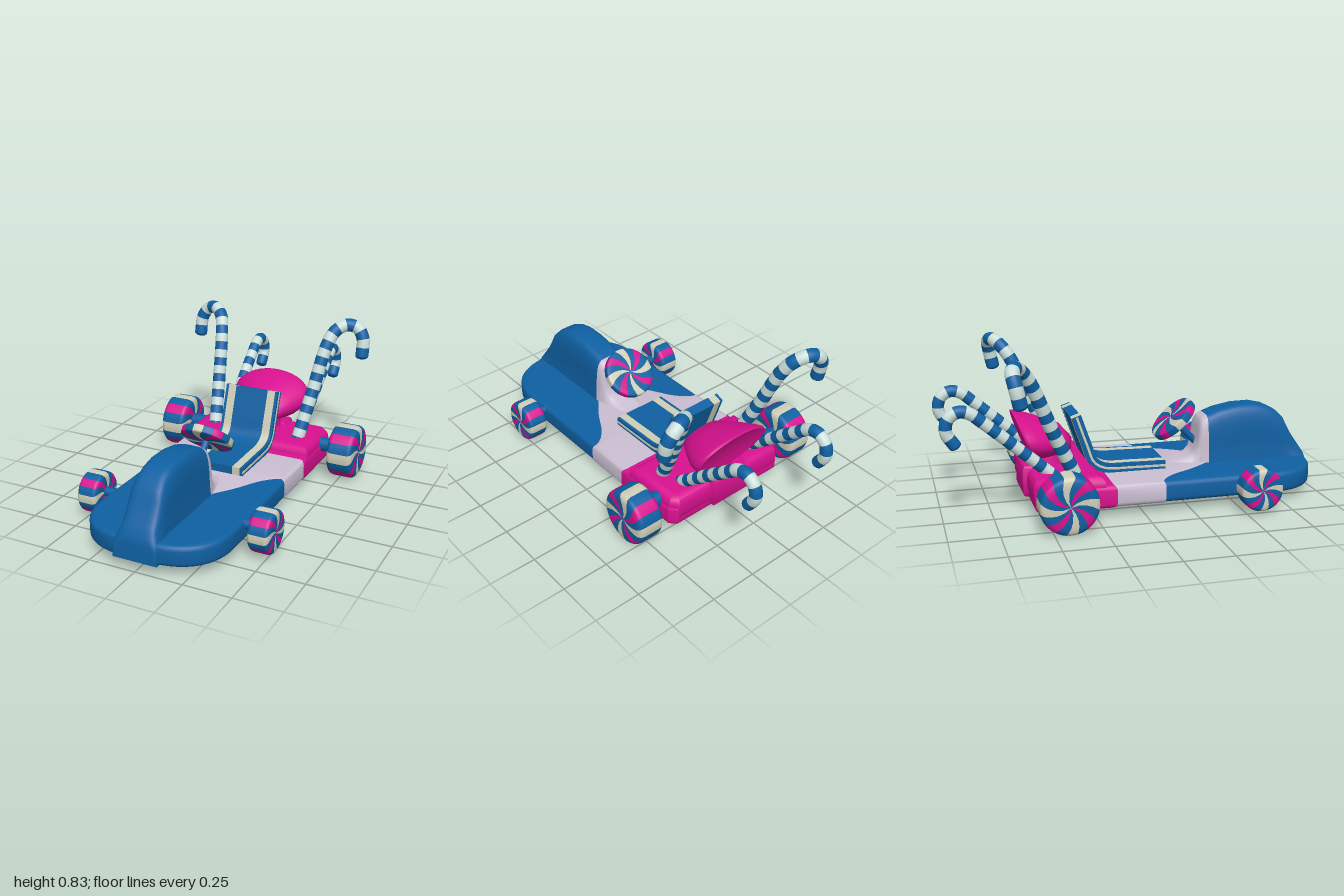
import * as THREE from 'three';
import { mergeGeometries, mergeVertices, toCreasedNormals } from 'three/addons/utils/BufferGeometryUtils.js';

const V = (x, y, z) => new THREE.Vector3(x, y, z);

// Skin a list of equally long point rows
function loft(rows) {
  const n = rows[0].length, idx = [];
  for (let i = 0; i < rows.length - 1; i++) {
    for (let j = 0; j < n - 1; j++) {
      const a = i * n + j, b = a + n;
      idx.push(a, a + 1, b, a + 1, b + 1, b);
    }
  }
  let g = new THREE.BufferGeometry().setFromPoints(rows.flat());
  g.setIndex(idx);
  g = mergeVertices(g, 1e-5);
  g.computeVertexNormals();
  return g;
}

// Plan outline (x, z) raised from y0 to y1 with rounded edges
function slab(points, y0, y1, bevel) {
  const shape = new THREE.Shape(points.map(([x, z]) => new THREE.Vector2(x, -z)));
  const g = new THREE.ExtrudeGeometry(shape, {
    depth: y1 - y0 - 2 * bevel, bevelSize: bevel, bevelThickness: bevel, bevelOffset: -bevel, bevelSegments: 4,
  });
  g.rotateX(-Math.PI / 2).translate(0, y0 + bevel, 0);
  return toCreasedNormals(g, 0.6);
}

const mirrored = (half) => [...half, ...half.map(([x, z]) => [-x, z]).reverse()];

// Rounded arch across the hood at one z
function arch(z, top, w) {
  return Array.from({ length: 33 }, (_, j) => {
    const a = (j / 32) * Math.PI, c = Math.cos(a);
    const y = 0.055 + (top - 0.055) * Math.pow(Math.max(Math.sin(a), 0), 0.4);
    const flare = 1 + 0.18 * Math.exp(-Math.max(y - 0.15, 0) / 0.025);
    return V(Math.sign(c) * Math.pow(Math.abs(c), 0.4) * w * flare, y, z);
  });
}

export function createModel() {
  const root = new THREE.Group();
  const mat = (name, color) => Object.assign(new THREE.MeshStandardMaterial({ color }), { name });
  const blue = mat('blue', 0x0f60a2), pink = mat('pink', 0xd8118f), lavender = mat('lavender', 0xcabfd2);
  const cream = mat('cream', 0xd0cfb8), mint = mat('paleMint', 0xcbdfdb);
  const add = (name, geo, material, parent = root) => {
    const m = new THREE.Mesh(geo, material);
    m.name = name;
    parent.add(m);
    return m;
  };

  // Chassis with a rounded nose, overlaid by the middle and rear colour zones
  const nose = new THREE.CubicBezierCurve(
    new THREE.Vector2(0.37, 0.7), new THREE.Vector2(0.37, 0.9),
    new THREE.Vector2(0.24, 0.99), new THREE.Vector2(0.06, 0.99)).getPoints(16).map((p) => [p.x, p.y]);
  add('chassis', slab(mirrored([[0.367, -0.5], [0.37, 0], ...nose]), 0.052, 0.162, 0.025), blue);
  const seam = new THREE.SplineCurve([[0.373, 0.11], [0.32, 0.135], [0.26, 0.2], [0.19, 0.32], [0.1, 0.44]]
    .map(([x, z]) => new THREE.Vector2(x, z))).getPoints(14).map((p) => [p.x, p.y]);
  add('floorPan', slab(mirrored([[0.373, -0.25], ...seam]), 0.049, 0.165, 0.025), lavender);
  add('rearBody', slab(mirrored([[0.34, -0.555], [0.376, -0.52], [0.376, -0.145]]), 0.046, 0.168, 0.025), pink);
  add('rearDeck', slab(mirrored([[0.33, -0.56], [0.37, -0.52], [0.37, -0.2]]), 0.07, 0.217, 0.05), pink);
  add('tailBlock', slab(mirrored([[0.12, -0.58], [0.14, -0.45]]), 0.055, 0.225, 0.025), pink);

  // Hood and dashboard
  add('hood', loft([
    [0.43, 0.415], [0.5, 0.44], [0.6, 0.458], [0.7, 0.46], [0.77, 0.445], [0.83, 0.415], [0.87, 0.375], [0.89, 0.335],
    [0.92, 0.28], [0.955, 0.23], [0.985, 0.185], [0.998, 0.14], [1, 0.055],
  ].map(([z, t]) => arch(z, t, 0.1))), blue);
  add('dashboard', loft([
    [0.2, 0.16, 0.07], [0.29, 0.18, 0.08], [0.34, 0.2, 0.085], [0.365, 0.23, 0.088], [0.38, 0.29, 0.09],
    [0.385, 0.35, 0.09], [0.393, 0.385, 0.094], [0.405, 0.402, 0.098], [0.43, 0.415, 0.1],
  ].map(([z, t, w]) => arch(z, t, w))), lavender);

  // Flared pod behind the seat: back disc first, then tapering forward
  const pod = [
    [-0.555, 0.37, 0, 0], [-0.565, 0.37, 0.16, 0.085], [-0.575, 0.37, 0.205, 0.108], [-0.573, 0.369, 0.22, 0.117],
    [-0.555, 0.365, 0.228, 0.12], [-0.5, 0.355, 0.212, 0.115], [-0.42, 0.345, 0.17, 0.095],
    [-0.34, 0.335, 0.12, 0.07], [-0.3, 0.33, 0, 0],
  ].map(([z, y, w, h]) => Array.from({ length: 41 }, (_, j) => {
    const a = ((j % 40) / 40) * Math.PI * 2, dy = h * Math.sin(a);
    return V(w * Math.cos(a), y + dy, z - 0.35 * dy);
  }));
  add('rearPod', loft(pod), pink);
  add('podNeck', new THREE.CylinderGeometry(0.09, 0.11, 0.14, 24).translate(0, 0.25, -0.43), pink);

  // Seat: one bent profile cut into lengthwise stripes
  const spine = new THREE.CatmullRomCurve3([[0.17, 0.183], [0, 0.186], [-0.16, 0.195], [-0.215, 0.23], [-0.25, 0.32], [-0.303, 0.472]]
    .map(([z, y]) => V(z, y, 0)));
  const seatShape = (half) => {
    const up = [], down = [];
    for (let i = 0; i <= 24; i++) {
      const p = spine.getPointAt(i / 24), t = spine.getTangentAt(i / 24);
      up.push(new THREE.Vector2(p.x + t.y * half, p.y - t.x * half));
      down.unshift(new THREE.Vector2(p.x - t.y * half, p.y + t.x * half));
    }
    return new THREE.Shape([...up, ...down]);
  };
  const seatStrip = (name, x0, x1, half, material) => {
    const g = new THREE.ExtrudeGeometry(seatShape(half), { depth: x1 - x0, bevelEnabled: false });
    g.rotateY(-Math.PI / 2).translate(x1, 0, 0);
    add(name, toCreasedNormals(g, 0.6), material);
  };
  seatStrip('seatCentre', -0.095, 0.095, 0.025, blue);
  for (const s of [-1, 1]) {
    const strip = (name, a, b, half, m) => seatStrip(name, Math.min(s * a, s * b), Math.max(s * a, s * b), half, m);
    strip('seatStripe', 0.095, 0.14, 0.025, cream);
    strip('seatEdge', 0.14, 0.155, 0.025, blue);
    strip('seatPiping', 0.155, 0.158, 0.006, cream);
  }

  // Peppermint disc about the y axis: sixteen twisted sectors
  const mint16 = (name, R, hw, twist) => {
    const half = [[0, 0.95], [0.25, 0.98], [0.5, 1], [0.7, 1], [0.84, 0.98], [0.93, 0.9], [0.98, 0.78], [1, 0.6]];
    const profile = [...half, ...half.map(([r, h]) => [r, -h]).reverse()];
    const order = [cream, blue, pink, blue], parts = new Map();
    for (let k = 0; k < 16; k++) {
      const sector = loft(profile.map(([r, h]) => Array.from({ length: 5 }, (_, j) => {
        const a = ((k - 0.5 + j / 4) / 16) * Math.PI * 2 + twist * (1 - r);
        return V(R * r * Math.cos(a), hw * h, R * r * Math.sin(a));
      })));
      const m = order[k % 4];
      parts.set(m, [...(parts.get(m) || []), sector]);
    }
    const group = new THREE.Group();
    group.name = name;
    for (const [m, list] of parts) add(name + 'Sectors', mergeGeometries(list), m, group);
    root.add(group);
    return group;
  };

  // Striped cane along a path
  const cane = (name, points, radius, bands, light) => {
    const path = new THREE.CatmullRomCurve3(points), rad = 20, step = 4;
    const g = new THREE.TubeGeometry(path, bands * step, radius, rad);
    for (let b = 0; b < bands; b++) g.addGroup(b * step * rad * 6, step * rad * 6, b % 2);
    add(name, g, [blue, light]);
    const cap = add(name + 'Tip', new THREE.SphereGeometry(radius, 20, 12), blue);
    cap.position.copy(points[points.length - 1]);
    cap.quaternion.setFromUnitVectors(V(0, 1, 0), path.getTangentAt(1));
    cap.scale.y = 0.55;
  };

  for (const s of [-1, 1]) {
    // Wheels and axles
    for (const [name, x, y, z, R, hw, axle] of [
      ['rearWheel', 0.515, 0.147, -0.425, 0.147, 0.074, 0.04], ['frontWheel', 0.473, 0.124, 0.575, 0.111, 0.056, 0.026],
    ]) {
      const w = mint16(name, R, hw, s * 0.6);
      w.position.set(s * x, y, z);
      w.rotation.z = -s * Math.PI / 2;
      const bar = add(name + 'Axle', new THREE.CylinderGeometry(axle, axle, 0.2, 20), blue);
      bar.position.set(s * (x - 0.13), y + 0.01, z);
      bar.rotation.z = Math.PI / 2;
    }
    // Tall outward canes and lower rearward canes
    cane('tallCane', [
      [0.252, 0.17, -0.32], [0.29, 0.45, -0.455], [0.325, 0.69, -0.56], [0.355, 0.765, -0.61], [0.41, 0.796, -0.65],
      [0.465, 0.78, -0.668], [0.5, 0.725, -0.66], [0.505, 0.632, -0.64],
    ].map(([x, y, z]) => V(s * x, y, z)), 0.036, 21, mint);
    cane('rearCane', [
      [0.225, 0.18, -0.42], [0.23, 0.35, -0.615], [0.234, 0.5, -0.79], [0.235, 0.547, -0.85], [0.235, 0.558, -0.905],
      [0.235, 0.525, -0.955], [0.235, 0.46, -0.967], [0.235, 0.39, -0.925],
    ].map(([x, y, z]) => V(s * x, y, z)), 0.032, 17, mint);
  }

  // Steering wheel and column, tilted back towards the seat
  const tilt = -0.75;
  const steering = mint16('steeringWheel', 0.138, 0.024, 0.6);
  steering.position.set(0, 0.39, 0.26);
  steering.rotation.x = tilt;
  const column = add('steeringColumn', new THREE.CylinderGeometry(0.018, 0.018, 0.2, 16), blue);
  column.position.set(0, 0.32, 0.325);
  column.rotation.x = tilt;

  return root;
}
